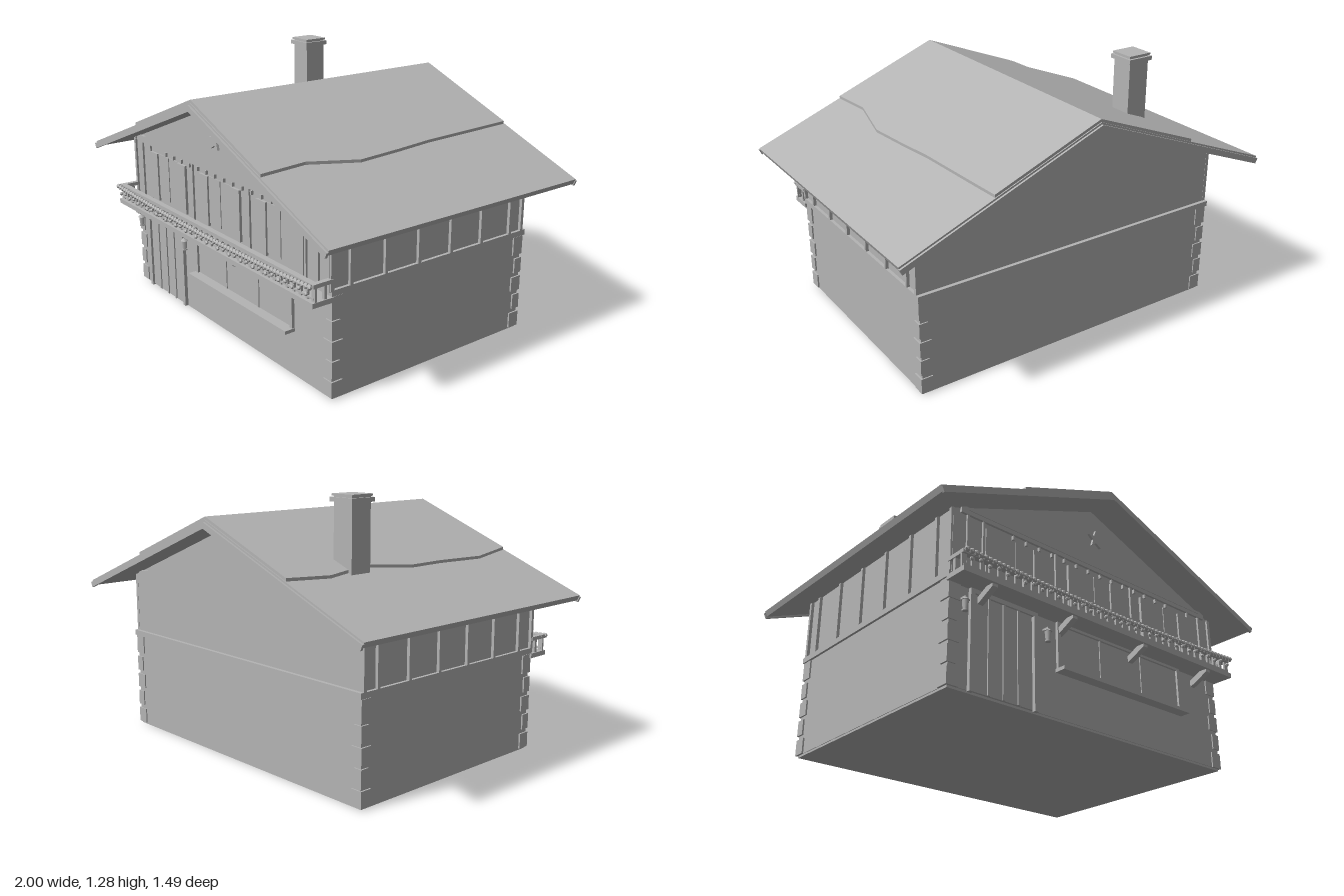
import * as THREE from 'three';

const SLOPE = 0.39;

export function createModel() {
  const model = new THREE.Group();
  const gray = new THREE.MeshStandardMaterial({ color: 0xb4b4b4 });
  gray.name = 'plain gray';

  const add = (name, geometry, parent = model) => {
    const mesh = new THREE.Mesh(geometry, gray);
    mesh.name = name;
    parent.add(mesh);
    return mesh;
  };
  const group = (name) => {
    const g = new THREE.Group();
    g.name = name;
    model.add(g);
    return g;
  };
  // Box given by its lower and upper limits on each axis
  const box = (name, x0, x1, y0, y1, z0, z1, parent) => {
    const g = new THREE.BoxGeometry(x1 - x0, y1 - y0, z1 - z0);
    g.translate((x0 + x1) / 2, (y0 + y1) / 2, (z0 + z1) / 2);
    return add(name, g, parent);
  };
  // Outline in x and y, extruded from z0 to z1
  const prism = (name, points, z0, z1, parent) => {
    const shape = new THREE.Shape(points.map(([x, y]) => new THREE.Vector2(x, y)));
    const g = new THREE.ExtrudeGeometry(shape, { depth: z1 - z0, bevelEnabled: false });
    g.translate(0, 0, z0);
    return add(name, g, parent);
  };
  // Inverted V that follows the roof pitch
  const chevron = (name, top, thick, half, z0, z1, parent) => prism(name, [
    [-half, top - SLOPE * half], [-half + 0.012, top - thick - SLOPE * (half - 0.012)],
    [0, top - thick], [half - 0.012, top - thick - SLOPE * (half - 0.012)],
    [half, top - SLOPE * half], [0, top]], z0, z1, parent);

  // Lower storey
  box('plinth', -0.825, 0.825, 0, 0.012, -0.57, 0.577);
  box('lowerWalls', -0.828, 0.828, 0.01, 0.485, -0.574, 0.581);

  // Corner blocks, with narrow gaps between courses
  const quoins = group('cornerBlocks');
  const courses = [[0.01, 0.085], [0.105, 0.18], [0.2, 0.273], [0.293, 0.368], [0.388, 0.48]];
  courses.forEach(([y0, y1], i) => {
    const len = i % 2 ? 0.045 : 0.06;
    for (const s of [-1, 1]) {
      const xa = s * 0.836, xb = s * (0.836 - len);
      const lo = Math.min(xa, xb), hi = Math.max(xa, xb);
      box('frontCornerBlock', lo, hi, y0, y1, 0.587 - len, 0.587, quoins);
      box('backCornerBlock', lo, hi, y0, y1, -0.58, -0.58 + len, quoins);
    }
  });

  // Upper storey with gable
  const eaveY = 1.135 - SLOPE * 0.825;
  prism('upperWalls', [[-0.825, 0.48], [0.825, 0.48], [0.825, eaveY], [0, 1.135], [-0.825, eaveY]], -0.57, 0.587);
  box('floorBand', -0.84, 0.84, 0.483, 0.51, -0.588, 0.59);

  // Wall posts along the sides
  const posts = group('sidePosts');
  for (const s of [-1, 1]) {
    for (const z of [0.587, 0.485, 0.293, 0.1, -0.095, -0.29, -0.482, -0.563]) {
      box('sidePost', s * 0.831 - 0.009, s * 0.831 + 0.009, 0.505, 0.81, z - 0.008, z + 0.008, posts);
    }
  }

  // Gable boards front and back
  for (const [z0, z1] of [[0.585, 0.603], [-0.586, -0.568]]) {
    prism('gablePanel', [[-0.75, 0.82], [0.75, 0.82], [0, 1.113]], z0, z1);
    box('gableBeam', -0.79, 0.79, 0.8, 0.835, z0 + 0.003, z1 - 0.003);
  }

  // Roof with a thin upper layer ending in a wavy edge
  chevron('roof', 1.162, 0.03, 1, -0.735, 0.735);
  for (const z of [-0.745, 0.733]) {
    chevron('vergeBoard', 1.153, 0.03, 1, z, z + 0.012);
  }
  const roofLayer = (name, edge) => {
    const shape = new THREE.Shape();
    shape.moveTo(0, -edge[0][1]);
    edge.forEach(([x, z]) => shape.lineTo(x, -z));
    shape.lineTo(0, -edge[edge.length - 1][1]);
    const g = new THREE.ExtrudeGeometry(shape, { depth: 0.022, bevelEnabled: false });
    g.rotateX(-Math.PI / 2);
    const p = g.attributes.position;
    for (let i = 0; i < p.count; i++) {
      p.setY(i, p.getY(i) + 1.154 - SLOPE * Math.abs(p.getX(i)));
    }
    g.computeVertexNormals();
    add(name, g);
  };
  roofLayer('leftRoofLayer', [[0.545, -0.73], [0.55, -0.57], [0.56, -0.2], [0.575, 0],
    [0.588, 0.23], [0.53, 0.49], [0.545, 0.73]]);
  roofLayer('rightRoofLayer', [[-0.545, -0.73], [-0.57, -0.5], [-0.53, -0.25], [-0.58, 0],
    [-0.578, 0.2], [-0.59, 0.48], [-0.545, 0.73]]);

  // Chimney
  const chimney = group('chimney');
  box('chimneyShaft', -0.57, -0.458, 0.88, 1.25, -0.378, -0.264, chimney);
  box('chimneyCollar', -0.583, -0.445, 1.25, 1.27, -0.39, -0.252, chimney);
  box('chimneyNeck', -0.57, -0.458, 1.27, 1.276, -0.378, -0.264, chimney);
  box('chimneyCap', -0.577, -0.451, 1.275, 1.285, -0.384, -0.258, chimney);

  // Planked door with frame
  const door = group('door');
  box('rightDoorPost', -0.73, -0.708, 0.005, 0.455, 0.58, 0.598, door);
  box('leftDoorPost', -0.385, -0.363, 0.005, 0.455, 0.58, 0.598, door);
  box('doorLintel', -0.73, -0.363, 0.44, 0.46, 0.58, 0.598, door);
  for (let i = 0; i < 4; i++) {
    const x = -0.705 + i * 0.08;
    box('doorPlank', x, x + 0.074, 0.01, 0.44, 0.58, 0.588, door);
    if (i) box('doorBatten', x - 0.009, x + 0.003, 0.01, 0.44, 0.58, 0.594, door);
  }

  // Wide ground floor window
  const win = group('wideWindow');
  box('glass', -0.23, 0.555, 0.235, 0.45, 0.58, 0.584, win);
  box('windowSill', -0.25, 0.57, 0.22, 0.236, 0.58, 0.636, win);
  box('windowHead', -0.245, 0.565, 0.448, 0.464, 0.58, 0.595, win);
  for (const x of [-0.236, 0.556]) box('windowJamb', x - 0.009, x + 0.009, 0.23, 0.46, 0.58, 0.595, win);
  for (const x of [0.025, 0.295]) box('mullion', x - 0.005, x + 0.005, 0.235, 0.45, 0.58, 0.589, win);

  // Upper windows with shutters and posts
  const upper = group('upperFront');
  for (const c of [-0.483, 0, 0.483]) {
    box('upperWindow', c - 0.1, c + 0.1, 0.535, 0.77, 0.585, 0.591, upper);
    box('upperMullion', c - 0.005, c + 0.005, 0.535, 0.77, 0.585, 0.595, upper);
    for (const s of [-1, 1]) {
      box('shutter', c + s * 0.137 - 0.037, c + s * 0.137 + 0.037, 0.52, 0.77, 0.585, 0.6, upper);
    }
  }
  for (const x of [-0.825, -0.75, -0.665, -0.245, 0.245, 0.665, 0.75, 0.825]) {
    box('frontPost', x - 0.006, x + 0.006, 0.5, 0.8, 0.585, 0.597, upper);
  }
  for (let i = 0; i < 14; i++) {
    const x = -0.5 + i / 13;
    box('smallPeg', x - 0.005, x + 0.005, 0.775, 0.795, 0.585, 0.6, upper);
  }

  // Balcony
  const balcony = group('balcony');
  box('balconyFloor', -0.845, 0.845, 0.46, 0.483, 0.58, 0.695, balcony);
  box('frontRail', -0.845, 0.845, 0.545, 0.563, 0.662, 0.69, balcony);
  box('lowerRail', -0.835, 0.835, 0.492, 0.5, 0.668, 0.682, balcony);
  for (const s of [-1, 1]) {
    box('sideRail', s * 0.832 - 0.012, s * 0.832 + 0.012, 0.545, 0.563, 0.585, 0.67, balcony);
    box('sideBaluster', s * 0.832 - 0.007, s * 0.832 + 0.007, 0.48, 0.55, 0.615, 0.63, balcony);
  }
  for (let i = 0; i <= 36; i++) {
    const x = -0.832 + i * 1.664 / 36, w = i % 9 ? 0.008 : 0.012;
    box('baluster', x - w, x + w, 0.48, 0.55, 0.67, 0.68, balcony);
  }
  // Slanted brackets below the floor
  for (const x of [-0.675, -0.225, 0.225, 0.675]) {
    const bracket = prism('bracket', [[0.58, 0.398], [0.6, 0.405], [0.685, 0.447], [0.685, 0.462],
      [0.65, 0.462], [0.58, 0.428]], -0.014, 0.014, balcony);
    bracket.rotation.y = -Math.PI / 2;
    bracket.position.x = x;
  }

  // Garland of beads on the railing
  const garland = group('garland');
  const bead = new THREE.IcosahedronGeometry(0.014, 0);
  const smallBead = new THREE.IcosahedronGeometry(0.01, 0);
  for (let i = 0; i <= 70; i++) {
    const t = i / 35 - 1;
    add('bead', bead, garland).position.set(t * 0.835, 0.533 + 0.022 * t * t, 0.702);
    if (i % 2) {
      const drop = 0.515 + 0.015 * t * t - (i % 4 === 1 ? 0.01 : 0);
      add('hangingBead', smallBead, garland).position.set(t * 0.835, drop, 0.702);
    }
  }
  const cord = new THREE.QuadraticBezierCurve3(new THREE.Vector3(-0.835, 0.555, 0.702),
    new THREE.Vector3(0, 0.511, 0.702), new THREE.Vector3(0.835, 0.555, 0.702));
  add('garlandCord', new THREE.TubeGeometry(cord, 24, 0.006, 5), garland);

  // Lanterns beside the door
  for (const x of [-0.77, -0.32]) {
    const lantern = group('lantern');
    lantern.position.set(x, 0, 0.612);
    add('lanternGlass', new THREE.CylinderGeometry(0.015, 0.011, 0.045, 6).translate(0, 0.36, 0), lantern);
    add('lanternRoof', new THREE.ConeGeometry(0.02, 0.018, 6).translate(0, 0.391, 0), lantern);
    add('lanternBase', new THREE.CylinderGeometry(0.014, 0.014, 0.006, 6).translate(0, 0.336, 0), lantern);
    box('lanternArm', -0.003, 0.003, 0.395, 0.403, -0.03, 0.004, lantern);
  }

  // Gable star
  const star = [];
  for (let i = 0; i < 10; i++) {
    const r = i % 2 ? 0.02 : 0.048, a = Math.PI / 2 + i * Math.PI / 5;
    star.push([r * Math.cos(a), 0.965 + r * Math.sin(a)]);
  }
  prism('star', star, 0.6, 0.615);

  return model;
}
